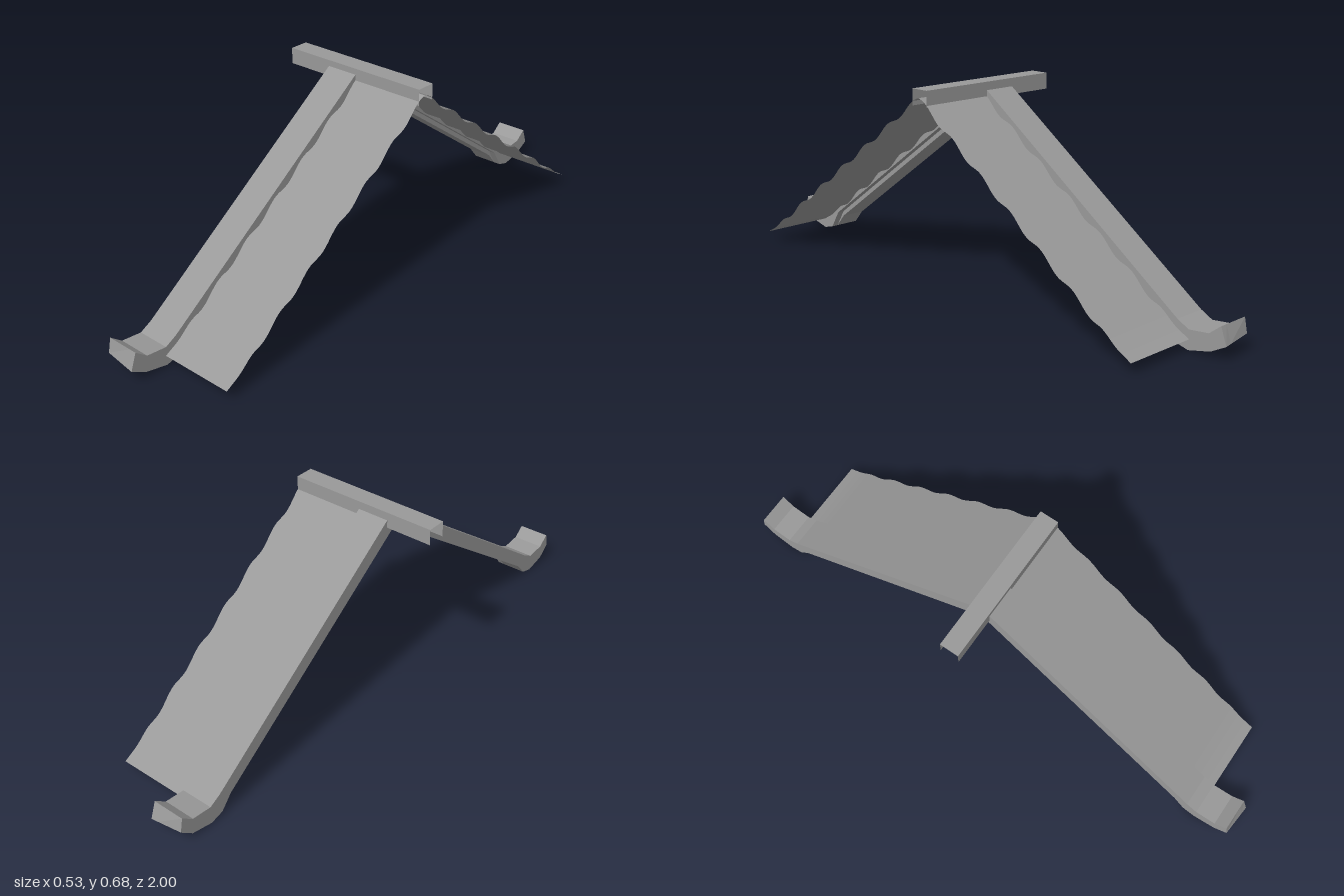
import * as THREE from 'three';

const GREY = 0x999999;
const material = new THREE.MeshStandardMaterial({ color: GREY });
const sheetMaterial = new THREE.MeshStandardMaterial({ color: GREY, side: THREE.DoubleSide });

function addMesh(parent, name, geometry, mat = material) {
  const mesh = new THREE.Mesh(geometry, mat);
  mesh.name = name;
  parent.add(mesh);
  return mesh;
}

// Slice of the gable trim from x0 to x1: chevron with upturned feet, given as [z, y].
// rise lifts the underside of the two arms to leave a rebate for the roof sheet.
function trimGeometry(x0, x1, rise) {
  const top = [[0.81, 0.1], [0.83, 0.086], [0.87, 0.065], [0.94, 0.073], [0.98, 0.105]];
  const under = [[1, 0.049], [0.947, 0.02], [0.87, 0.002], [0.825, 0.014], [0.785, 0.06 + rise]];
  const half = [...top, ...under];
  const mirrored = half.map(([z, y]) => [-z, y]).reverse();
  const outline = [[0, 0.678], ...half, [0, 0.616 + rise], ...mirrored];
  const shape = new THREE.Shape(outline.map(([z, y]) => new THREE.Vector2(z, y)));
  const geometry = new THREE.ExtrudeGeometry(shape, { depth: x1 - x0, bevelEnabled: false });
  geometry.rotateY(-Math.PI / 2).translate(x1, 0, 0);

  // The foot tips are cut slightly askew
  const p = geometry.attributes.position;
  for (let i = 0; i < p.count; i++) {
    const z = p.getZ(i);
    if (Math.abs(z) < 0.985) continue;
    const k = (0.01 - p.getX(i)) / 0.113;
    p.setY(i, p.getY(i) + 0.008 * k);
    p.setZ(i, z - Math.sign(z) * 0.01 * k);
  }
  geometry.computeVertexNormals();
  return geometry;
}

// Roof sheet: straight slope, small flare at the eave, rippled along its length
function sheetGeometry(side) {
  const geometry = new THREE.PlaneGeometry(1, 1, 1, 90);
  const p = geometry.attributes.position;
  for (let i = 0; i < p.count; i++) {
    const u = 0.5 + side * p.getX(i);
    const z = 0.873 * (0.5 - p.getY(i));
    const flare = Math.max(0, z - 0.77);
    p.setXYZ(i, 0.01 + 0.257 * u, 0.651 - 0.717 * z + flare * flare, side * z);
  }
  geometry.computeVertexNormals();
  // Ripple is added after the normals so the sheet keeps an even shade
  for (let i = 0; i < p.count; i++) {
    const z = Math.abs(p.getZ(i));
    const fade = THREE.MathUtils.clamp((0.85 - z) / 0.1, 0, 1);
    p.setY(i, p.getY(i) + 0.008 * fade * Math.sin(z * Math.PI * 2 / 0.125));
  }
  return geometry;
}

// Ridge cap: hollow channel, open below and at the ends
function addRidge(parent) {
  const ridge = new THREE.Group();
  ridge.name = 'ridgeCap';
  parent.add(ridge);
  const length = 0.534, depth = 0.066, height = 0.054, middle = -0.005;
  const top = addMesh(ridge, 'ridgeTop', new THREE.PlaneGeometry(length, depth), sheetMaterial);
  top.rotation.x = -Math.PI / 2;
  top.position.set(0, 0.6785, middle);
  for (const side of [1, -1]) {
    const wall = addMesh(ridge, side > 0 ? 'ridgeFront' : 'ridgeBack',
      new THREE.PlaneGeometry(length, height), sheetMaterial);
    wall.rotation.y = side > 0 ? 0 : Math.PI;
    wall.position.set(0, 0.6515, middle + side * depth / 2);
  }
}

export function createModel() {
  const model = new THREE.Group();
  model.name = 'roofEdge';
  addMesh(model, 'gableTrim', trimGeometry(-0.103, -0.015, 0));
  addMesh(model, 'gableTrimRebate', trimGeometry(-0.015, 0.01, 0.018));
  addMesh(model, 'frontRoofSheet', sheetGeometry(1), sheetMaterial);
  addMesh(model, 'backRoofSheet', sheetGeometry(-1), sheetMaterial);
  addRidge(model);
  return model;
}
